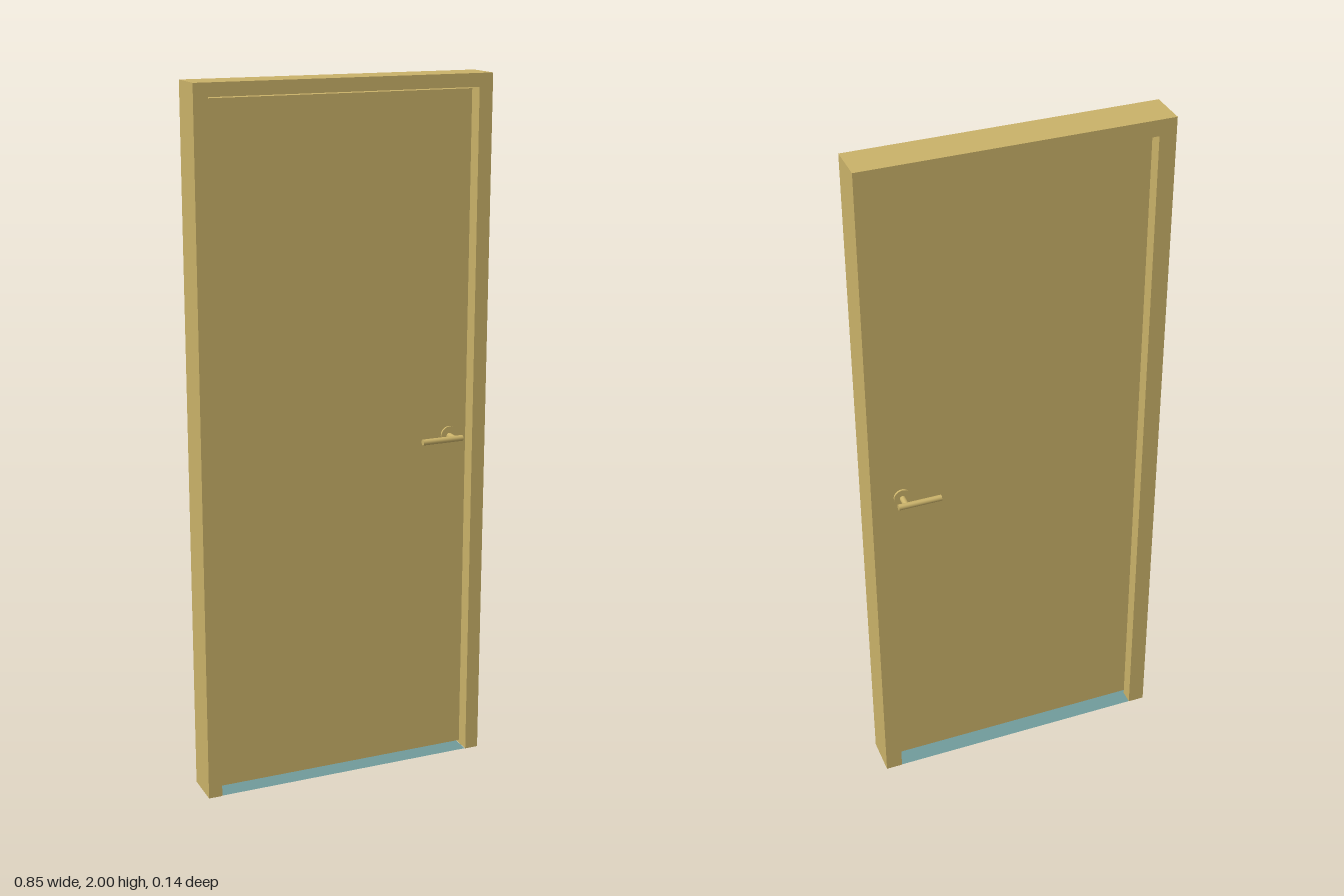
import * as THREE from 'three';

const wood = new THREE.MeshStandardMaterial({ color: 0xc9b168 });
const sill = new THREE.MeshStandardMaterial({ color: 0x709a9a, side: THREE.DoubleSide });

function add(parent, name, geometry, material, x = 0, y = 0, z = 0) {
  const mesh = new THREE.Mesh(geometry, material);
  mesh.name = name;
  mesh.position.set(x, y, z);
  parent.add(mesh);
  return mesh;
}

// Upside-down U (two jambs and a head) extruded from z0 to z1
function portal(outerX, outerY, innerX, innerY, z0, z1) {
  const shape = new THREE.Shape([
    [-outerX, 0], [-innerX, 0], [-innerX, innerY], [innerX, innerY],
    [innerX, 0], [outerX, 0], [outerX, outerY], [-outerX, outerY],
  ].map(([x, y]) => new THREE.Vector2(x, y)));
  const geometry = new THREE.ExtrudeGeometry(shape, { depth: z1 - z0, bevelEnabled: false });
  return geometry.translate(0, 0, z0);
}

// Lever handle on one face of the leaf; side is +1 (front) or -1 (back)
function handle(side, faceZ, leverZ) {
  const group = new THREE.Group();
  group.name = side > 0 ? 'frontHandle' : 'backHandle';
  const x = 0.328, y = 0.984;
  const rosette = add(group, 'rosette', new THREE.CylinderGeometry(0.024, 0.024, 0.006, 32), wood,
    x, y, faceZ + side * 0.003);
  rosette.rotation.x = Math.PI / 2;
  const neck = add(group, 'neck', new THREE.CylinderGeometry(0.0085, 0.0085, Math.abs(leverZ - faceZ), 20), wood,
    x, 0.981, (faceZ + leverZ) / 2);
  neck.rotation.x = Math.PI / 2;
  const lever = add(group, 'lever', new THREE.CylinderGeometry(0.0085, 0.0085, 0.124, 20), wood,
    0.29, 0.981, leverZ);
  lever.rotation.z = Math.PI / 2;
  return group;
}

export function createModel() {
  const door = new THREE.Group();
  door.name = 'door';

  // Frame with a deeper front rebate and a stop behind the leaf
  add(door, 'frontFrame', portal(0.427, 2, 0.387, 1.963, -0.02, 0.052), wood);
  add(door, 'backFrameStop', portal(0.427, 2, 0.379, 1.955, -0.06, -0.02), wood);

  // Leaf, with a narrow gap to the frame
  const back = -0.02, front = 0.018;
  add(door, 'leaf', new THREE.BoxGeometry(0.764, 1.943, front - back), wood,
    0, 0.014 + 1.943 / 2, (front + back) / 2);

  // Flat threshold on the floor
  const threshold = add(door, 'threshold', new THREE.PlaneGeometry(0.77, 0.112), sill, 0, 0.001, -0.004);
  threshold.rotation.x = -Math.PI / 2;

  door.add(handle(1, front, 0.0585), handle(-1, back, -0.061));
  return door;
}
